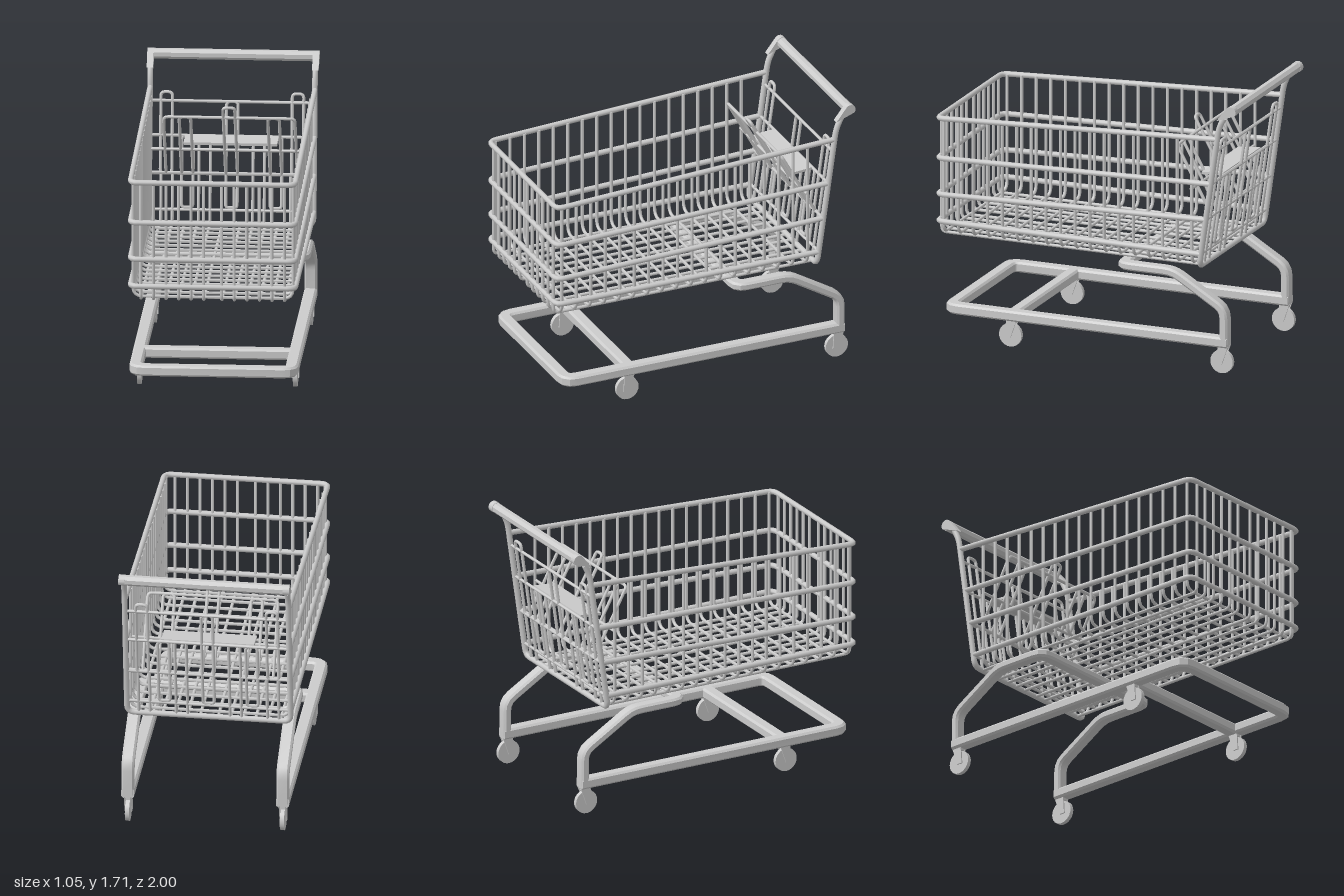
import * as THREE from 'three';
import { mergeGeometries, toCreasedNormals } from 'three/addons/utils/BufferGeometryUtils.js';

const V = (x, y, z) => new THREE.Vector3(x, y, z);
const circle = (r, n = 8) => Array.from({ length: n }, (_, i) => {
  const a = ((i + 0.5) / n) * Math.PI * 2;
  return [r * Math.cos(a), r * Math.sin(a)];
});
// rectangle with chamfered corners, from half sizes
const chamfered = (w, h, c) => [
  [w, -h + c], [w, h - c], [w - c, h], [-w + c, h],
  [-w, h - c], [-w, -h + c], [-w + c, -h], [w - c, -h]];

// Rounds the inner corners of a polyline
function rounded(pts, r, n = 4) {
  const out = [pts[0]];
  for (let i = 1; i < pts.length - 1; i++) {
    const p = pts[i];
    const toward = q => p.clone().lerp(q, Math.min(0.49, r / p.distanceTo(q)));
    out.push(...new THREE.QuadraticBezierCurve3(toward(pts[i - 1]), p, toward(pts[i + 1])).getPoints(n));
  }
  out.push(pts[pts.length - 1]);
  return out;
}

// Sweeps a section along a polyline with mitred joints; `side` is the section's first axis
function sweep(pts, section, side = V(1, 0, 0), crease = 0.9) {
  const dirs = pts.slice(1).map((p, i) => p.clone().sub(pts[i]).normalize());
  const t0 = dirs[0];
  let u = side.clone().addScaledVector(t0, -side.dot(t0));
  if (u.length() < 0.1) u = V(0, 1, 0).addScaledVector(t0, -t0.y);
  u.normalize();
  const v = t0.clone().cross(u);
  let ring = section.map(([a, b]) => pts[0].clone().addScaledVector(u, a).addScaledVector(v, b));
  const pos = [], n = section.length;
  const tri = (...c) => c.forEach(p => pos.push(p.x, p.y, p.z));
  for (let k = 1; k < n - 1; k++) tri(ring[0], ring[k + 1], ring[k]);
  dirs.forEach((d, i) => {
    const normal = d.clone().add(dirs[i + 1] || d).normalize();
    const next = ring.map(p => p.clone().addScaledVector(
      d, pts[i + 1].clone().sub(p).dot(normal) / d.dot(normal)));
    for (let j = 0; j < n; j++) {
      const k = (j + 1) % n;
      tri(ring[j], ring[k], next[k]);
      tri(ring[j], next[k], next[j]);
    }
    ring = next;
  });
  for (let k = 1; k < n - 1; k++) tri(ring[0], ring[k], ring[k + 1]);
  const g = new THREE.BufferGeometry();
  g.setAttribute('position', new THREE.Float32BufferAttribute(pos, 3));
  return toCreasedNormals(g, crease);
}

export function createModel() {
  const model = new THREE.Group();
  model.name = 'shoppingCart';
  const mat = new THREE.MeshStandardMaterial({ color: 0xcccccc });
  const add = (name, geo, parent = model) => {
    const m = new THREE.Mesh(Array.isArray(geo) ? mergeGeometries(geo) : geo, mat);
    m.name = name;
    parent.add(m);
    return m;
  };
  const wire = (pts, r = 0.01, bend = 0.03) => sweep(rounded(pts, bend), circle(r));
  const gate = (x, y) => V(x, y, -0.75 - (y - 0.66) * 0.144);
  const topY = z => 1.4 + (0.985 - z) * 0.048;

  // Basket rails: U-shaped hoops rising toward the back
  const basket = new THREE.Group();
  basket.name = 'basket';
  model.add(basket);
  add('basketRails', [[1.4, 1.49], [1.147, 1.2], [0.917, 0.97], [0.747, 0.747]].map(([f, b]) =>
    wire([gate(-0.502, b), V(-0.502, f, 0.984), V(0.502, f, 0.984), gate(0.502, b)], 0.017, 0.05)), basket);

  // Cross wires: up one side, under the floor, up the other
  const cross = [];
  for (let i = 0; i < 18; i++) {
    const z = 0.945 - i * 0.0965;
    const top = topY(z);
    cross.push(wire([V(-0.488, top, z), V(-0.488, 0.675, z), V(0.488, 0.675, z), V(0.488, top, z)], 0.01, 0.06));
  }
  add('crossWires', cross, basket);

  // Lengthwise wires: along the floor and up the front
  const lengthwise = [];
  for (let i = 0; i < 6; i++) {
    for (const x of [-0.055 - i * 0.0765, 0.055 + i * 0.0765]) {
      lengthwise.push(wire([V(x, 0.663, -0.745), V(x, 0.663, 0.98), V(x, 1.4, 0.98)], 0.01, 0.035));
    }
  }
  add('lengthwiseWires', lengthwise, basket);

  // Rear frame carrying the handle
  add('rearFrame', wire([V(-0.502, 1.63, -0.915), gate(-0.502, 1.56), gate(-0.502, 0.667),
    gate(0.502, 0.667), gate(0.502, 1.56), V(0.502, 1.63, -0.915)], 0.018, 0.05));

  // Handle: faceted bar between two tapered, round-ended brackets
  const handle = new THREE.Group();
  handle.name = 'handle';
  model.add(handle);
  add('handleBar', sweep([V(-0.51, 1.677, -0.966), V(0.51, 1.677, -0.966)],
    circle(0.033), V(0, 1, 0), 0.5), handle);
  const bracket = new THREE.Shape();
  bracket.moveTo(0.911, 1.578);
  bracket.absarc(0.966, 1.677, 0.034, -0.65, 2.45);
  bracket.lineTo(0.872, 1.612);
  const bracketGeo = toCreasedNormals(new THREE.ExtrudeGeometry(bracket,
    { depth: 0.04, bevelEnabled: false }).rotateY(Math.PI / 2), 0.6);
  add('handleBrackets', [-0.524, 0.484].map(x => bracketGeo.clone().translate(x, 0, 0)), handle);

  // Rear gate: horizontal wires and long wire loops
  const gateWires = [0.75, 0.97, 1.2, 1.41].map(y => wire([gate(-0.5, y), gate(0.5, y)]));
  const loop = (x, w, lo, hi, at) => wire(
    [at(x, lo), at(x - w, lo), at(x - w, hi), at(x + w, hi), at(x + w, lo), at(x, lo)], 0.01, 0.025);
  for (const x of [-0.27, 0, 0.27]) gateWires.push(loop(x, 0.035, 0.765, x ? 1.2 : 1.41, gate));
  for (const s of [-1, 1]) {
    gateWires.push(loop(s * 0.4, 0.035, 0.97, 1.463, gate));
    for (const x of [0.13, 0.2]) gateWires.push(wire([gate(s * x, 0.665), gate(s * x, 1.2)]));
    for (const x of [0.36, 0.43]) gateWires.push(wire([gate(s * x, 0.665), gate(s * x, 0.97)]));
  }
  add('rearGate', gateWires);

  // Child seat: plate and leaning wire backrest
  const lean = (x, y) => V(x, y, -0.79 + (y - 0.97) * 0.545);
  add('seatBackrest', [
    wire([lean(-0.4, 0.97), lean(-0.4, 1.39), lean(0.4, 1.39), lean(0.4, 0.97)]),
    wire([lean(-0.49, 0.975), lean(0.49, 0.975)]),
    wire([lean(-0.49, 1.15), lean(0.49, 1.15)]),
    loop(0, 0.036, 0.97, 1.463, lean),
    loop(-0.27, 0.035, 0.97, 1.39, lean),
    loop(0.27, 0.035, 0.97, 1.39, lean)]);
  const seat = add('childSeat', new THREE.BoxGeometry(0.57, 0.016, 0.145));
  seat.position.set(0, 1.197, -0.746);
  seat.rotation.x = 0.08;

  // Chassis: U-shaped base, crossbar, and bent legs joined under the basket
  const chassis = new THREE.Group();
  chassis.name = 'chassis';
  model.add(chassis);
  const up = V(0, 1, 0);
  const baseTube = chamfered(0.033, 0.039, 0.012);
  const legTube = chamfered(0.026, 0.039, 0.012);
  add('chassisBase', sweep(rounded([V(0.475, 0.2, -0.934), V(0.475, 0.2, 0.906),
    V(-0.475, 0.2, 0.906), V(-0.475, 0.2, -0.934)], 0.06, 3), baseTube, up, 0.5), chassis);
  add('chassisCrossbar', sweep([V(-0.46, 0.2, 0.49), V(0.46, 0.2, 0.49)], baseTube, up, 0.5), chassis);
  const leg = [V(0.475, 0.19, -0.911), V(0.475, 0.405, -0.911),
    V(0.475, 0.61, -0.572), V(0.475, 0.61, -0.234)];
  const otherLeg = leg.map(p => V(-p.x, p.y, p.z)).reverse();
  add('chassisLegs', sweep(rounded([...leg, ...otherLeg], 0.055, 3), legTube, V(0, 0, 1), 0.5), chassis);

  // Casters: wheel between two tapered fork plates
  const wheelGeo = new THREE.CylinderGeometry(0.074, 0.074, 0.026, 24).rotateZ(Math.PI / 2);
  const forkShape = new THREE.Shape([[0.03, -0.015], [0.022, 0.1], [-0.045, 0.1], [-0.005, -0.015]]
    .map(([z, y]) => new THREE.Vector2(-z, y)));
  const plate = new THREE.ExtrudeGeometry(forkShape, { depth: 0.008, bevelEnabled: false }).rotateY(Math.PI / 2);
  const fork = [plate.clone().translate(-0.023, 0, 0), plate.clone().translate(0.015, 0, 0),
    new THREE.BoxGeometry(0.044, 0.022, 0.056).toNonIndexed().translate(0, 0.088, -0.007)];
  for (const x of [-0.475, 0.475]) {
    for (const z of [0.506, -0.892]) {
      const caster = new THREE.Group();
      caster.name = (z > 0 ? 'front' : 'rear') + (x > 0 ? 'Left' : 'Right') + 'Caster';
      caster.position.set(x, 0.075, z);
      add('wheel', wheelGeo, caster);
      add('fork', fork, caster);
      model.add(caster);
    }
  }
  return model;
}
